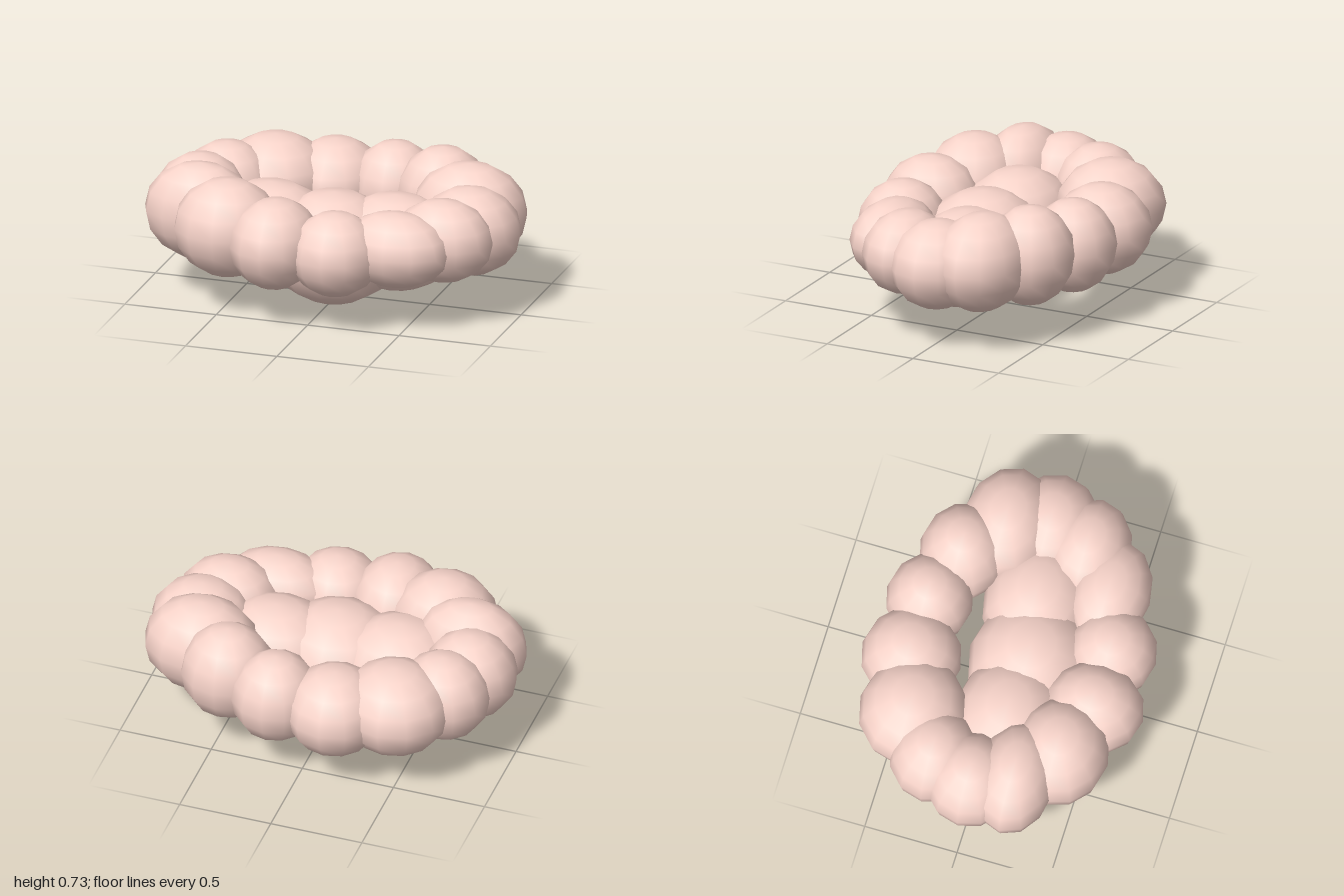
import * as THREE from 'three';

export function createModel() {
  const group = new THREE.Group();
  const material = new THREE.MeshStandardMaterial({ color: 0xf8d4ca });
  const ball = new THREE.SphereGeometry(1, 12, 8);

  function addLobe(name, center, size) {
    const mesh = new THREE.Mesh(ball, material);
    mesh.name = name;
    mesh.position.set(...center);
    mesh.scale.set(...size);
    group.add(mesh);
  }

  // Oval rim of swollen lobes, from the +x end towards the front:
  // [centre height, half width, half height, half depth]
  const rim = [
    [0.435, 0.275, 0.235, 0.25],
    [0.447, 0.27, 0.22, 0.22],
    [0.435, 0.3, 0.2, 0.21],
    [0.41, 0.245, 0.225, 0.235],
    [0.43, 0.24, 0.24, 0.265],
    [0.453, 0.285, 0.262, 0.26],
    [0.46, 0.305, 0.263, 0.215],
    [0.45, 0.25, 0.24, 0.24],
    [0.45, 0.25, 0.24, 0.235],
    [0.45, 0.3, 0.245, 0.285],
    [0.43, 0.265, 0.24, 0.265],
    [0.44, 0.235, 0.25, 0.23],
    [0.461, 0.25, 0.266, 0.235],
    [0.46, 0.31, 0.26, 0.25],
  ];
  rim.forEach(([y, w, h, d], i) => {
    const a = (i / rim.length) * Math.PI * 2;
    addLobe('rimLobe' + (i + 1), [0.735 * Math.cos(a) - 0.015, y, 0.508 * Math.sin(a)], [w, h, d]);
  });

  // Three larger lobes filling the middle and bulging below the rim
  addLobe('coreLobeCenter', [0.01, 0.3, 0.1], [0.36, 0.3, 0.335]);
  addLobe('coreLobeRight', [-0.34, 0.34, 0.08], [0.35, 0.27, 0.3]);
  addLobe('coreLobeLeft', [0.33, 0.345, 0.04], [0.35, 0.255, 0.29]);

  return group;
}
